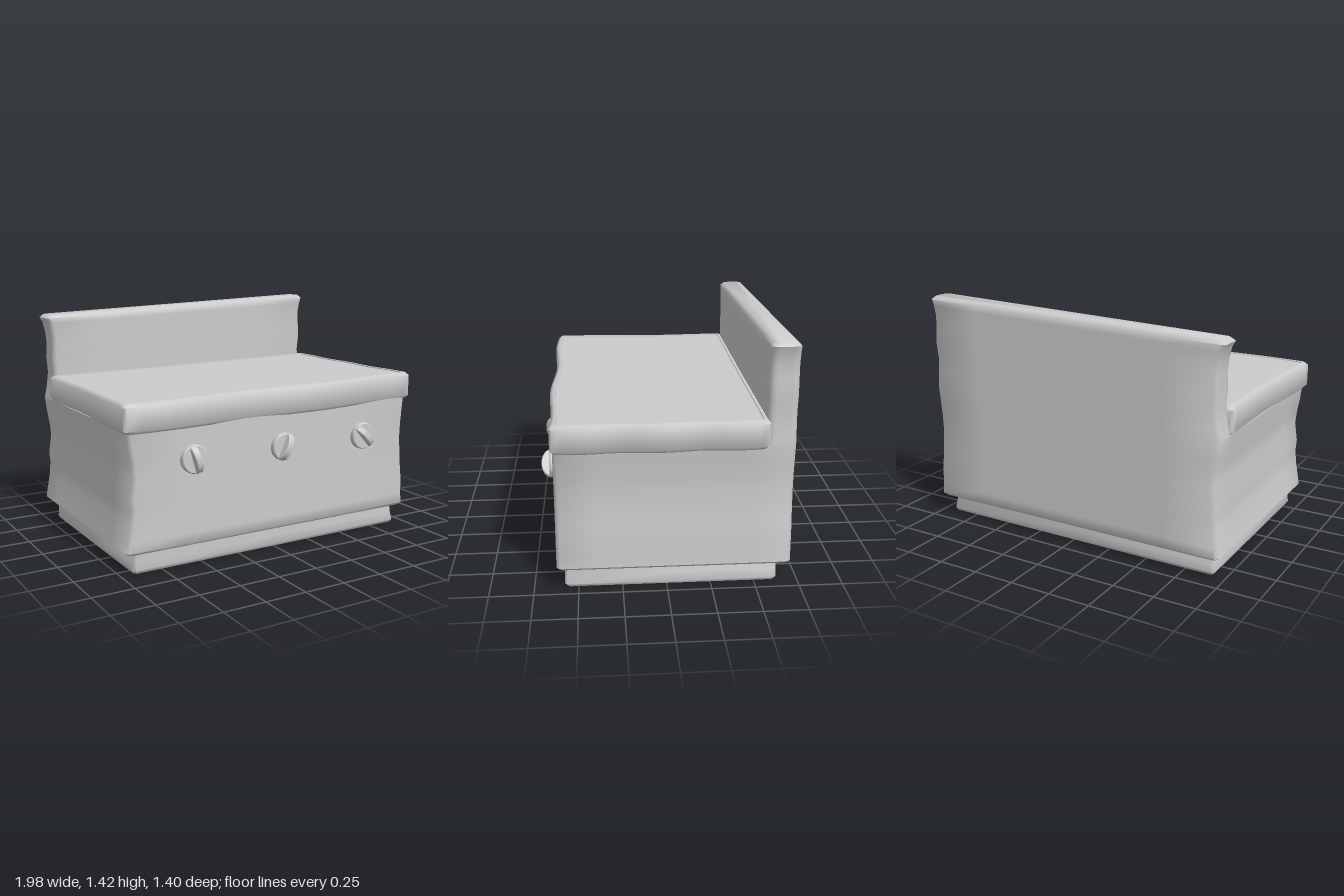
import * as THREE from 'three';
import { toCreasedNormals } from 'three/addons/utils/BufferGeometryUtils.js';

const grey = new THREE.MeshStandardMaterial({ color: 0xcccccc });
const greyThin = new THREE.MeshStandardMaterial({ color: 0xcccccc, side: THREE.DoubleSide });

// Horizontal ring with chamfered corners, n segments per side
function ring({ y, l, r, f, b, c = 0.015 }, n) {
  const corners = [
    [l + c, f], [r - c, f], [r, f - c], [r, b + c],
    [r - c, b], [l + c, b], [l, b + c], [l, f - c],
  ];
  const points = [];
  corners.forEach(([x, z], i) => {
    const [x2, z2] = corners[(i + 1) % 8];
    const steps = i % 2 ? 1 : n;
    for (let k = 0; k < steps; k++) {
      const t = k / steps;
      points.push(new THREE.Vector3(x + (x2 - x) * t, y, z + (z2 - z) * t));
    }
  });
  return points;
}

// Skin a stack of rings from bottom to top, bending each point by a rule
function loft(name, levels, { n = 8, bend = () => {}, bottom = true, top = true, material = grey }) {
  const rings = levels.map((level) => ring(level, n));
  const count = rings[0].length;
  const centre = ({ y, l, r, f, b }) => new THREE.Vector3((l + r) / 2, y, (f + b) / 2);
  const all = [...rings.flat(), centre(levels[0]), centre(levels[levels.length - 1])];
  all.forEach(bend);
  const index = [];
  const last = (rings.length - 1) * count;
  for (let j = 0; j < count; j++) {
    const k = (j + 1) % count;
    for (let i = 0; i < last; i += count) {
      index.push(i + j, i + k, i + count + k, i + j, i + count + k, i + count + j);
    }
    if (bottom) index.push(all.length - 2, k, j);
    if (top) index.push(all.length - 1, last + j, last + k);
  }
  const geometry = new THREE.BufferGeometry().setFromPoints(all);
  geometry.setIndex(index);
  const mesh = new THREE.Mesh(toCreasedNormals(geometry, 0.9), material);
  mesh.name = name;
  return mesh;
}

function createBody() {
  // Height, left edge, right edge: the sides waver as they rise
  const sides = [
    [0.14, -0.985, 0.97], [0.2, -0.975, 0.965], [0.3, -0.957, 0.962], [0.38, -0.95, 0.952],
    [0.45, -0.955, 0.945], [0.57, -0.937, 0.937], [0.65, -0.945, 0.94], [0.74, -0.96, 0.948],
    [0.83, -0.97, 0.957], [0.9, -0.955, 0.95], [1.0, -0.942, 0.942], [1.1, -0.95, 0.954],
    [1.18, -0.943, 0.948], [1.26, -0.95, 0.944], [1.33, -0.965, 0.957], [1.365, -0.985, 0.97],
  ];
  const levels = [{ y: 0.122, l: -0.965, r: 0.95, f: 0.6, b: -0.68, c: 0.02 }];
  for (const [y, l, r] of sides) {
    const low = { y, l, r, f: 0.62, b: -0.7, c: 0.02 };
    const high = { ...low, f: -0.54 };
    if (y < 0.85) levels.push(low);
    if (y > 0.8) levels.push(high);
  }
  levels.push({ y: 1.385, l: -0.965, r: 0.95, f: -0.56, b: -0.68, c: 0.02 });
  // The back panel slopes upwards to one side
  const bend = (p) => { p.y += p.x * 0.036 * Math.max(0, (p.y - 0.12) / 1.26); };
  return loft('bodyAndBackPanel', levels, { n: 6, bend });
}

function createWorktop() {
  const level = (y, inset) => ({
    y, l: -0.978 + inset, r: 0.978 - inset, f: 0.638 - inset, b: -0.556 + inset, c: 0.014,
  });
  const levels = [
    level(0.808, 0.018), level(0.826, 0), level(0.955, 0), level(0.974, 0.018),
    level(0.974, 0.034), level(0.968, 0.035),
  ];
  // Wavering edges and a slight slope across the top
  const bend = (p) => {
    const { x, z } = p;
    const flare = x < 0
      ? 0.008 * Math.sin(5.5 * z - 1.4) + 0.014 * z
      : 0.007 * Math.cos(14 * z - 0.6) + 0.006 * z;
    p.x += x * flare;
    if (z > 0) p.z += 0.012 * Math.cos(2 * Math.PI * (x - 0.3)) * z / 0.64;
    p.y += 0.013 * x + 0.004 * x * x + 0.007 * z * z;
  };
  return loft('worktop', levels, { n: 24, bend });
}

function createPlinth() {
  const levels = [
    { y: 0, l: -0.92, r: 0.92, f: 0.565, b: -0.62 },
    { y: 0.018, l: -0.93, r: 0.93, f: 0.577, b: -0.63 },
    { y: 0.07, l: -0.925, r: 0.915, f: 0.577, b: -0.63 },
    { y: 0.13, l: -0.92, r: 0.905, f: 0.577, b: -0.63 },
  ];
  return loft('plinth', levels, { n: 2, bottom: false, top: false, material: greyThin });
}

// Round dial with a curved grip standing on its face
function createKnob(x, turn) {
  const knob = new THREE.Group();
  knob.name = 'knob';
  const discProfile = [[0, -0.01], [0.082, -0.01], [0.082, 0.024], [0.076, 0.032], [0, 0.032]]
    .map(([r, h]) => new THREE.Vector2(r, h));
  const discGeometry = toCreasedNormals(new THREE.LatheGeometry(discProfile, 32), 0.6);
  discGeometry.rotateX(Math.PI / 2);
  const disc = new THREE.Mesh(discGeometry, grey);
  disc.name = 'knobDisc';

  const arc = new THREE.Shape();
  arc.absellipse(0, 0, 0.078, 0.054, 0, Math.PI, false);
  const gripGeometry = new THREE.ExtrudeGeometry(arc, {
    depth: 0.028, curveSegments: 20, bevelThickness: 0.005, bevelSize: 0.004, bevelSegments: 1,
  });
  gripGeometry.translate(0, 0, -0.014);
  gripGeometry.rotateX(Math.PI / 2);
  gripGeometry.rotateZ(Math.PI / 2);
  const grip = new THREE.Mesh(toCreasedNormals(gripGeometry, 0.6), grey);
  grip.name = 'knobGrip';
  grip.position.z = 0.022;

  knob.add(disc, grip);
  knob.position.set(x, 0.627, 0.62);
  knob.rotation.z = turn;
  return knob;
}

export function createModel() {
  const model = new THREE.Group();
  model.name = 'griddle';
  model.add(createPlinth(), createBody(), createWorktop());
  for (const [x, turn] of [[-0.575, 0.27], [0.02, -0.42], [0.605, 0.74]]) {
    model.add(createKnob(x, turn));
  }
  return model;
}
